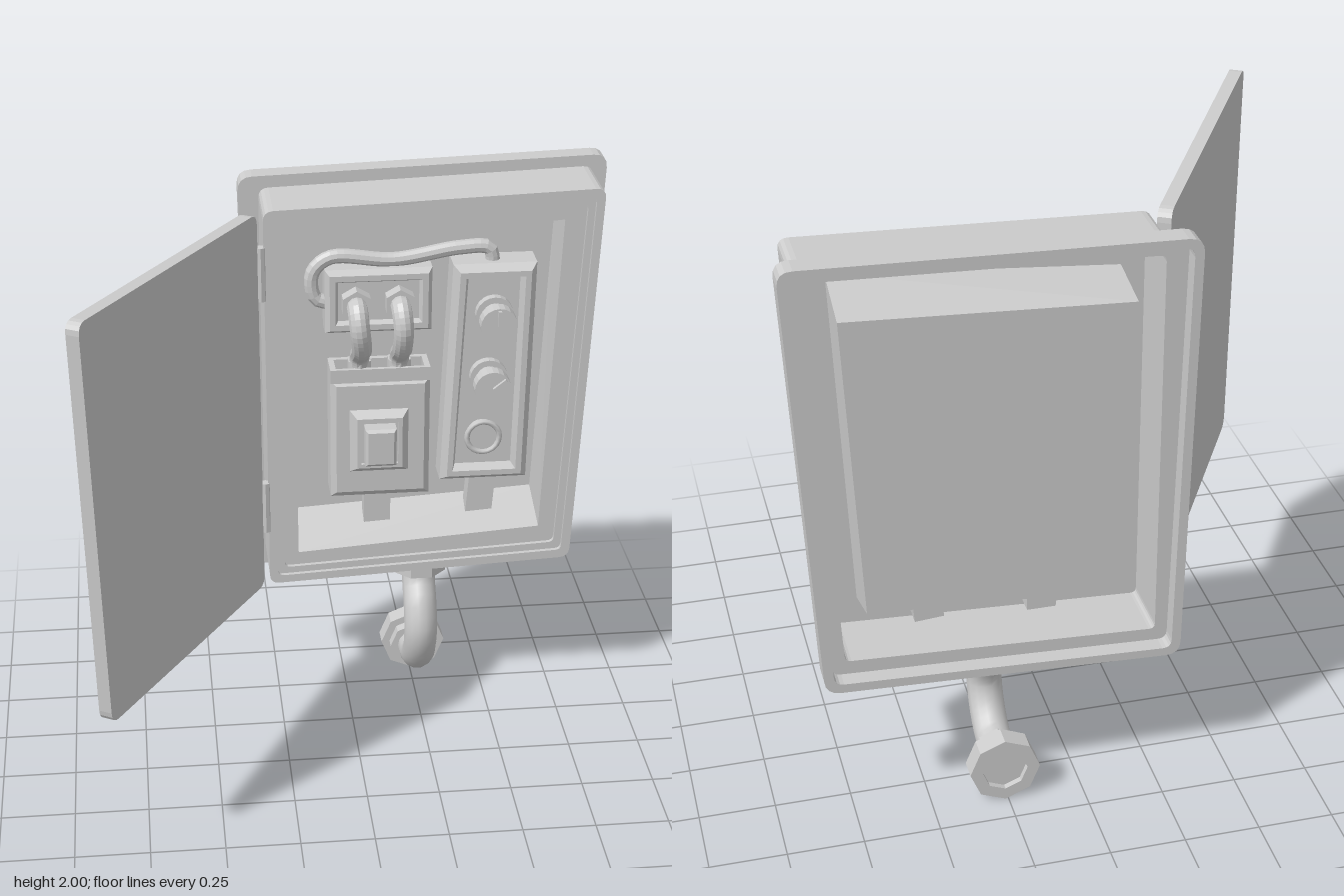
import * as THREE from 'three';

const smooth = new THREE.MeshStandardMaterial({ color: 0xcccccc, side: THREE.DoubleSide });
const flat = new THREE.MeshStandardMaterial({ color: 0xcccccc, side: THREE.DoubleSide, flatShading: true });

// Four-sided outlines run: bottom left, bottom right, top right, top left
const rect = (x0, y0, x1, y1) => [[x0, y0], [x1, y0], [x1, y1], [x0, y1]];
const inset = (q, d) => q.map(([x, y], i) => [x + (i === 0 || i === 3 ? d : -d), y + (i < 2 ? d : -d)]);

function roundedQuad(q, r, path = new THREE.Shape()) {
  const p = q.map(([x, y]) => new THREE.Vector2(x, y));
  p.forEach((c, i) => {
    const toward = (o) => c.clone().add(o.clone().sub(c).setLength(r));
    const a = toward(p[(i + 3) % 4]), b = toward(p[(i + 1) % 4]);
    if (i === 0) path.moveTo(a.x, a.y); else path.lineTo(a.x, a.y);
    path.quadraticCurveTo(c.x, c.y, b.x, b.y);
  });
  path.closePath();
  return path;
}

// Plate or ring with rounded corners between two depths
function plate(outer, r, z0, z1, hole, holeR = 0.02) {
  const shape = roundedQuad(outer, r);
  if (hole) shape.holes.push(roundedQuad(hole, holeR, new THREE.Path()));
  return new THREE.ExtrudeGeometry(shape, { depth: z1 - z0, bevelEnabled: false, curveSegments: 4 }).translate(0, 0, z0);
}

// Skin through a stack of [outline, z] sections, closed at the last one
function loft(sections) {
  const pos = [];
  const quad = (a, b, c, d) => pos.push(...a, ...b, ...c, ...a, ...c, ...d);
  const rings = sections.map(([q, z]) => q.map(([x, y]) => [x, y, z]));
  for (let k = 0; k + 1 < rings.length; k++)
    for (let i = 0; i < 4; i++) {
      const j = (i + 1) % 4;
      quad(rings[k][i], rings[k][j], rings[k + 1][j], rings[k + 1][i]);
    }
  quad(...rings[rings.length - 1]);
  const g = new THREE.BufferGeometry();
  g.setAttribute('position', new THREE.Float32BufferAttribute(pos, 3));
  g.computeVertexNormals();
  return g;
}

// Box whose front follows [inset, z] steps
const stepped = (q, steps) => loft(steps.map(([d, z]) => [inset(q, d), z]));

function tube(points, r, segments = 24, sides = 12) {
  const curve = new THREE.CatmullRomCurve3(points.map((p) => new THREE.Vector3(...p)));
  return new THREE.TubeGeometry(curve, segments, r, sides);
}

const discZ = (r, z0, z1, x, y, sides) =>
  new THREE.CylinderGeometry(r, r, z1 - z0, sides).rotateX(Math.PI / 2).translate(x, y, (z0 + z1) / 2);

export function createModel() {
  const model = new THREE.Group();
  const add = (name, geometry, material = flat, parent = model) => {
    const mesh = new THREE.Mesh(geometry, material);
    mesh.name = name;
    parent.add(mesh);
    return mesh;
  };
  const group = (name) => {
    const g = new THREE.Group();
    g.name = name;
    model.add(g);
    return g;
  };

  // Housing: hollow back flange, side walls and recessed front frame
  const flange = [[-0.325, 0.48], [0.835, 0.53], [0.91, 2.0], [-0.355, 1.96]];
  const body = [[-0.285, 0.525], [0.79, 0.575], [0.86, 1.96], [-0.285, 1.92]];
  const bodyInner = inset(body, 0.03);
  const tray = [[-0.18, 0.63], [0.68, 0.69], [0.73, 1.845], [-0.18, 1.77]];
  const trayBack = [[-0.18, 0.705], [0.68, 0.755], [0.73, 1.78], [-0.18, 1.735]];
  const housing = group('housing');
  add('flangeRim', plate(flange, 0.05, -0.655, -0.6, inset(flange, 0.03), 0.03), flat, housing);
  add('flangePlate', plate(flange, 0.05, -0.6, -0.58, bodyInner), flat, housing);
  add('bodyWalls', plate(body, 0.035, -0.58, -0.345, bodyInner), flat, housing);
  add('frontFrame', plate(inset(body, 0.02), 0.02, -0.385, -0.375, tray, 0.003), flat, housing);
  add('frameStep', plate(inset(body, 0.025), 0.02, -0.375, -0.36, inset(body, 0.055)), flat, housing);
  add('tray', loft([[tray, -0.375], [trayBack, -0.575]]), flat, housing);

  // Door swung open on two hinges
  const door = add('door', plate([[0, 0.525], [1.085, 0.575], [1.145, 1.96], [0, 1.915]], 0.04, 0, 0.045));
  door.position.set(-0.305, 0, -0.34);
  door.rotation.y = -2 * Math.PI / 3;
  for (const y of [0.83, 1.7])
    add('hinge', new THREE.CylinderGeometry(0.018, 0.018, 0.19, 8).translate(-0.295, y, -0.352));

  // Socket box with two plugs
  const socketBox = group('socketBox');
  add('socketCase', stepped(rect(-0.07, 1.42, 0.3, 1.65),
    [[0, -0.575], [0, -0.49], [0.015, -0.465], [0.035, -0.465], [0.045, -0.485]]), flat, socketBox);

  // Switch box with an open wiring ledge on top and a raised button
  const switchBox = group('switchBox');
  add('switchCase', stepped(rect(-0.055, 0.8, 0.295, 1.25), [[0, -0.575], [0, -0.47], [0.02, -0.455]]), flat, switchBox);
  const ledge = new THREE.Shape([[-0.055, -0.575], [0.295, -0.575], [0.295, -0.46], [-0.055, -0.46]].map((p) => new THREE.Vector2(p[0], -p[1])));
  ledge.holes.push(new THREE.Path([[-0.035, -0.555], [0.275, -0.555], [0.275, -0.475], [-0.035, -0.475]].map((p) => new THREE.Vector2(p[0], -p[1]))));
  add('wiringLedge', new THREE.ExtrudeGeometry(ledge, { depth: 0.05, bevelEnabled: false }).rotateX(-Math.PI / 2).translate(0, 1.24, 0), flat, switchBox);
  add('switchButton', stepped(rect(0.01, 0.9, 0.22, 1.14),
    [[0, -0.457], [0.025, -0.425], [0.04, -0.425], [0.04, -0.44], [0.05, -0.44], [0.05, -0.39], [0.06, -0.38]]), flat, switchBox);

  // Plugs and thick cables linking socket box and switch box
  for (const [x0, x1] of [[0.035, 0.05], [0.185, 0.19]]) {
    add('plug', discZ(0.055, -0.49, -0.435, x0, 1.535, 6));
    add('cableNut', new THREE.CylinderGeometry(0.045, 0.045, 0.07, 6).translate(x1, 1.275, -0.51));
    add('thickCable', tube([[x0, 1.535, -0.45], [x0, 1.53, -0.4], [x0 + 0.005, 1.47, -0.375], [x1, 1.39, -0.41],
      [x1, 1.33, -0.49], [x1, 1.26, -0.51]], 0.035));
  }

  // Thin cable looping over to the dial box
  add('thinCable', tube([[-0.05, 1.52, -0.52], [-0.1, 1.54, -0.52], [-0.11, 1.63, -0.52], [-0.05, 1.685, -0.52],
    [0.17, 1.67, -0.52], [0.4, 1.705, -0.52], [0.5, 1.7, -0.52], [0.515, 1.63, -0.52]], 0.025, 40, 10));

  // Dial box with a recessed face and three dials
  const dialBox = group('dialBox');
  add('dialCase', stepped([[0.335, 0.845], [0.645, 0.845], [0.66, 1.66], [0.37, 1.66]],
    [[0, -0.575], [0, -0.475], [0.022, -0.445], [0.042, -0.445], [0.055, -0.485]]), flat, dialBox);
  for (const [x, y, turn] of [[0.515, 1.475, 0], [0.5, 1.24, -0.9]]) {
    add('dialBase', discZ(0.066, -0.485, -0.455, x, y, 20), flat, dialBox);
    add('dialStem', discZ(0.045, -0.455, -0.405, x, y, 16), flat, dialBox);
    add('dialKnob', discZ(0.064, -0.405, -0.355, x, y, 20), flat, dialBox);
    const pointer = add('dialPointer', new THREE.BoxGeometry(0.012, 0.055, 0.015).translate(0, 0.03, 0), flat, dialBox);
    pointer.position.set(x, y, -0.35);
    pointer.rotation.z = turn;
  }
  add('lampBase', discZ(0.055, -0.485, -0.455, 0.485, 1.015, 20), flat, dialBox);
  add('lampRing', new THREE.TorusGeometry(0.058, 0.01, 6, 20).translate(0.485, 1.015, -0.452), smooth, dialBox);

  // Flat conduits leaving through the tray floor
  for (const [x, y, tilt] of [[0.112, 0.76, 0], [0.485, 0.78, -0.08]]) {
    const conduit = add('conduit', new THREE.BoxGeometry(0.095, 0.19, 0.07));
    conduit.position.set(x, y, -0.515);
    conduit.rotation.z = tilt;
  }

  // Drain pipe: collar under the housing, bent pipe, end nuts
  const pipe = group('pipe');
  add('pipeCollar', new THREE.CylinderGeometry(0.1, 0.1, 0.065, 8).rotateY(Math.PI / 8).translate(0.26, 0.54, -0.453), flat, pipe);
  add('bentPipe', tube([[0.26, 0.53, -0.46], [0.26, 0.46, -0.44], [0.26, 0.38, -0.383], [0.26, 0.29, -0.36],
    [0.26, 0.2, -0.395], [0.26, 0.135, -0.47], [0.26, 0.12, -0.56]], 0.06, 16, 14), smooth, pipe);
  add('innerNut', discZ(0.087, -0.59, -0.545, 0.26, 0.12, 8), flat, pipe);
  const nut = [[0.05, 0.02], [0.075, 0.02], [0.075, 0], [0.117, 0], [0.117, 0.07], [0.05, 0.07]];
  add('endNut', new THREE.LatheGeometry(nut.map((p) => new THREE.Vector2(...p)), 8)
    .rotateX(Math.PI / 2).translate(0.26, 0.117, -0.655), flat, pipe);

  return model;
}
